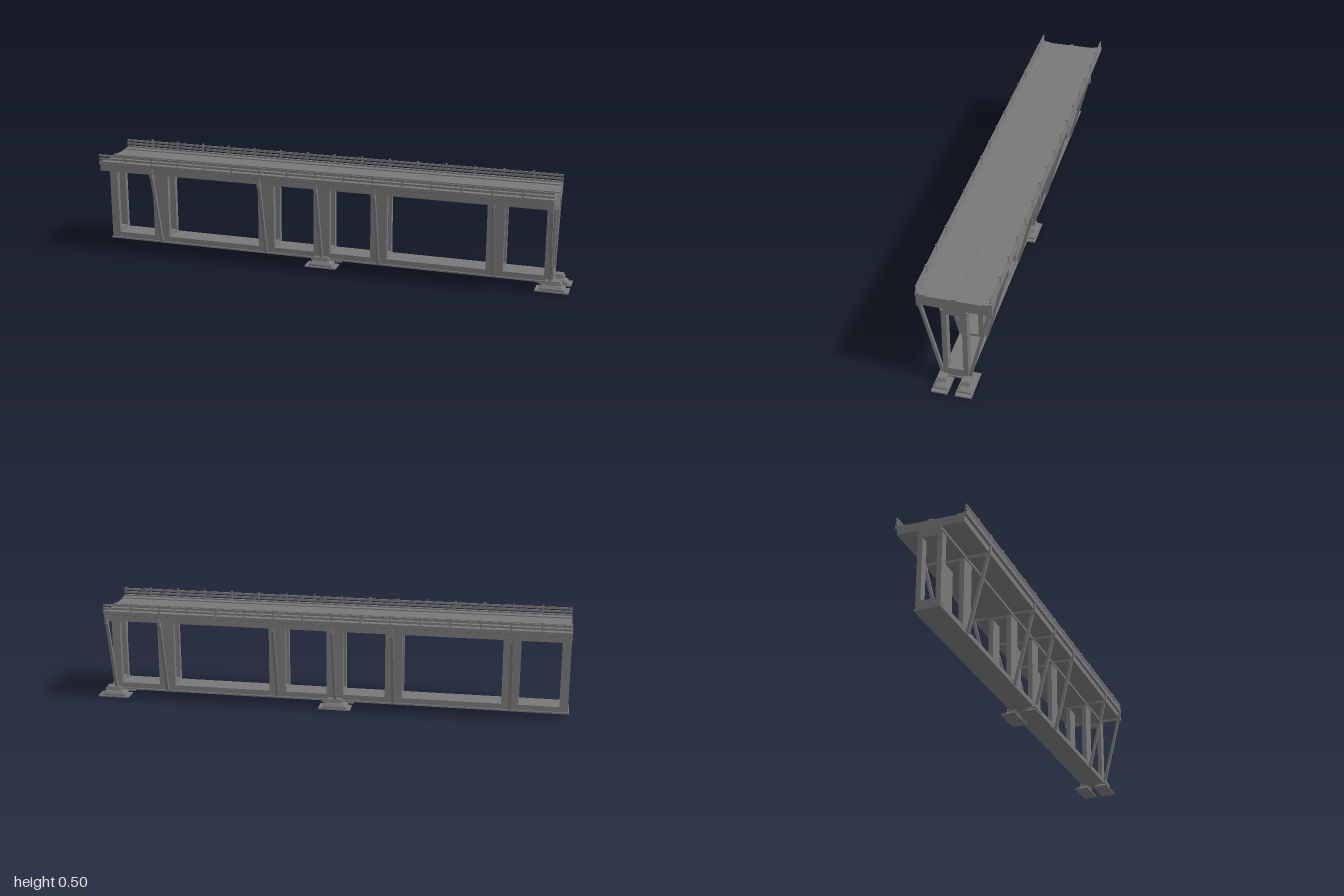
import * as THREE from 'three';

const mat = new THREE.MeshStandardMaterial({ color: 0x787878 });

export function createModel() {
  const model = new THREE.Group();
  model.name = 'viaduct';

  // Local frame: x along the span, z across it; the whole span lies diagonally.
  const bridge = new THREE.Group();
  bridge.name = 'bridge';
  bridge.rotation.y = -0.621;
  bridge.position.x = -0.01;
  model.add(bridge);

  const add = (name, geo) => {
    const mesh = new THREE.Mesh(geo, mat);
    mesh.name = name;
    bridge.add(mesh);
    return mesh;
  };
  const box = (name, x, z, y0, y1, length, width) => {
    const m = add(name, new THREE.BoxGeometry(length, y1 - y0, width));
    m.position.set(x, (y0 + y1) / 2, z);
  };
  // Cross-section of [across, up] points swept along the span
  const sweep = (name, points, length) => {
    const shape = new THREE.Shape(points.map(([a, b]) => new THREE.Vector2(a, b)));
    const geo = new THREE.ExtrudeGeometry(shape, { depth: length, bevelEnabled: false });
    geo.translate(0, 0, -length / 2).rotateY(-Math.PI / 2);
    return add(name, geo);
  };

  // Deck: roadway, raised side walks and projecting edge lips
  const half = [
    [0.152, 0.41], [0.152, 0.438], [0.162, 0.442], [0.162, 0.46], [0.148, 0.46],
    [0.148, 0.454], [0.118, 0.454], [0.118, 0.449],
  ];
  sweep('deckSlab', [...half, ...half.map(([a, b]) => [-a, b]).reverse()], 2.2);
  box('medianStrip', 0, 0, 0.445, 0.455, 2.2, 0.018);

  // Central girder below the deck, with a flange
  box('deckGirder', 0, 0, 0.39, 0.412, 2.2, 0.1);
  box('girderFlange', 0, 0, 0.384, 0.392, 2.2, 0.12);

  // Railings
  for (const z of [-0.156, 0.156]) {
    for (const y of [0.472, 0.488]) box('handrail', 0, z, y - 0.005, y + 0.005, 2.2, 0.006);
    for (let k = -7; k <= 7; k++) box('railPost', k * 0.1375, z, 0.455, 0.5, 0.007, 0.009);
  }

  // Lower beam on a slightly wider sole plate
  box('lowerBeam', 0, 0, 0.042, 0.068, 2.2, 0.106);
  box('solePlate', 0, 0, 0.036, 0.043, 2.21, 0.12);

  // Piers: twin legs joined at head and foot, half length at the span ends
  for (const x of [-1.08, -0.83, -0.28, 0, 0.28, 0.83, 1.08]) {
    const length = Math.abs(x) > 1 ? 0.04 : 0.08;
    for (const z of [-0.044, 0.044]) box('pierLeg', x, z, 0.06, 0.39, length, 0.022);
    box('pierFoot', x, 0, 0.062, 0.08, length, 0.085);
    box('pierHead', x, 0, 0.372, 0.39, length, 0.085);
  }

  // Slim slanted struts with brackets under both deck edges
  for (const x of [-0.83, -0.28, 0, 0.28, 0.83, 1.09]) {
    box('crossRib', x, 0, 0.398, 0.415, 0.014, 0.27);
    for (const turn of [0, Math.PI]) {
      const strut = sweep('strut', [
        [0.052, 0.045], [0.066, 0.045], [0.15, 0.385], [0.16, 0.395],
        [0.16, 0.445], [0.136, 0.445], [0.136, 0.385],
      ], 0.014);
      strut.position.x = x;
      strut.rotation.y = turn;
    }
  }

  // Stepped footings: plate, tapered block, neck and cap
  const taper = (name, x, z, y0, y1, bottom, top) => {
    const geo = new THREE.CylinderGeometry(top * Math.SQRT1_2, bottom * Math.SQRT1_2, y1 - y0, 4).toNonIndexed();
    geo.rotateY(Math.PI / 4).scale(1, 1, 0.5).computeVertexNormals();
    add(name, geo).position.set(x, (y0 + y1) / 2, z);
  };
  for (const x of [0, 1.1]) {
    for (const z of [-0.052, 0.052]) {
      box('footingPlate', x, z, 0, 0.006, 0.154, 0.072);
      taper('footingBlock', x, z, 0.005, 0.014, 0.116, 0.116);
      taper('footingTaper', x, z, 0.014, 0.027, 0.116, 0.08);
      taper('footingNeck', x, z, 0.026, 0.034, 0.05, 0.05);
      taper('footingCap', x, z, 0.032, 0.05, 0.085, 0.07);
    }
  }
  return model;
}
